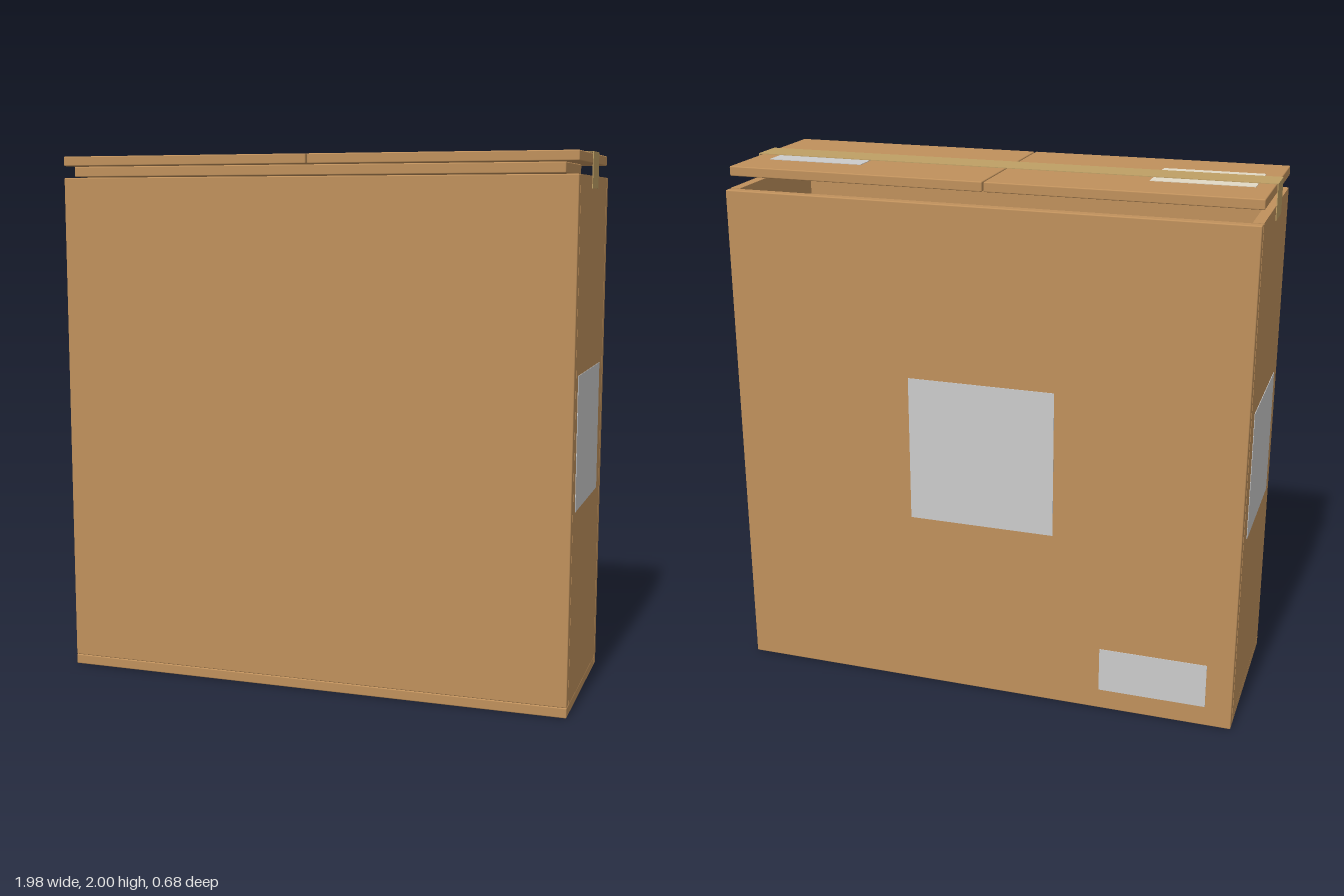
import * as THREE from 'three';
import { RoundedBoxGeometry } from 'three/addons/geometries/RoundedBoxGeometry.js';

const cardboard = new THREE.MeshStandardMaterial({ color: 0xc0915c });
const tapeMaterial = new THREE.MeshStandardMaterial({ color: 0xbfa065 });
const paper = new THREE.MeshStandardMaterial({ color: 0xe2d9c5 });
const grey = new THREE.MeshStandardMaterial({ color: 0xcccccc });

const W = 0.98; // half width
const D = 0.34; // half depth
const T = 0.038; // board thickness
const WALL_TOP = 1.915;

export function createModel() {
  const group = new THREE.Group();

  // Adds a block given its [min, max] range on each axis; bevel softens board edges.
  function block(name, material, [x0, x1], [y0, y1], [z0, z1], bevel = 0) {
    const size = [x1 - x0, y1 - y0, z1 - z0];
    const geometry = bevel ? new RoundedBoxGeometry(...size, 2, bevel) : new THREE.BoxGeometry(...size);
    const mesh = new THREE.Mesh(geometry, material);
    mesh.name = name;
    mesh.position.set((x0 + x1) / 2, (y0 + y1) / 2, (z0 + z1) / 2);
    group.add(mesh);
    return mesh;
  }
  const board = (name, x, y, z) => block(name, cardboard, x, y, z, 0.004);

  // Hollow carton: front, back and bottom boards
  board('frontWall', [-W, W], [T, WALL_TOP], [D - T, D]);
  board('backWall', [-W, W], [0, WALL_TOP], [-D, -D + T]);
  board('bottomPanel', [-W, W], [0, T], [-0.296, D]);

  // Flap folded back from the front wall, beneath the outer pair
  board('innerFlap', [-0.935, 0.935], [1.918, 1.956], [0.02, D]);

  // Mirrored side walls, top flaps, side labels and tape ends
  for (const [side, s] of [['left', 1], ['right', -1]]) {
    const span = (a, b) => (s > 0 ? [a, b] : [-b, -a]);
    block(side + 'Wall', cardboard, span(W - T, W), [T, WALL_TOP], [-0.296, D - T]);
    board(side + 'TopFlap', span(0.003, W), [1.959, 1.995], [-0.298, D]);
    block(side + 'SideLabel', grey, span(W, W + 0.002), [0.735, 1.22], [-0.225, 0.262]);
    block(side + 'TapeEnd', tapeMaterial, span(0.985, 0.988), [1.87, 2], [-0.045, 0.085]);
  }

  // Tape along the top seam
  block('topTape', tapeMaterial, [-0.985, 0.985], [1.9975, 2], [-0.045, 0.085]);

  // Labels on the top flaps
  block('topPaperLabel', paper, [-0.92, -0.55], [1.995, 1.997], [-0.105, 0.14]);
  block('topGreyLabel', grey, [0.53, 0.9], [1.995, 1.997], [-0.13, 0.09]);

  // Labels on the back wall
  block('backLargeLabel', grey, [-0.28, 0.28], [0.7, 1.26], [-D - 0.002, -D]);
  block('backSmallLabel', grey, [-0.88, -0.47], [0.08, 0.255], [-D - 0.002, -D]);

  return group;
}
